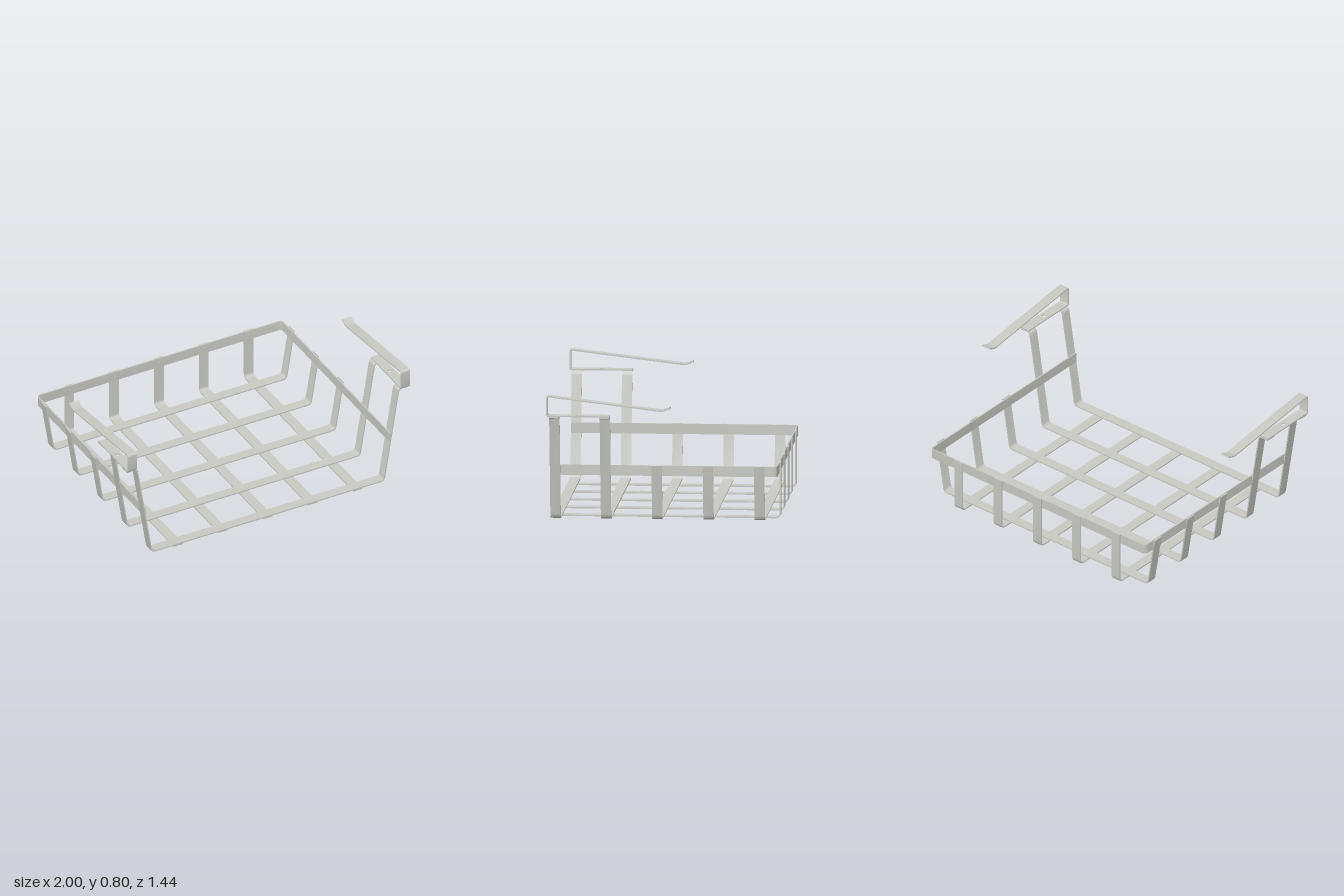
import * as THREE from 'three';
import { toCreasedNormals } from 'three/addons/utils/BufferGeometryUtils.js';

const T = 0.008;  // strap thickness
const W = 0.065;  // strap width

// Round the inner corners of a polyline with radius-like distance r
function roundPath(points, r) {
  const p = points.map(([x, y]) => new THREE.Vector2(x, y));
  const out = [p[0]];
  for (let i = 1; i < p.length - 1; i++) {
    const a = p[i - 1].clone().sub(p[i]).setLength(r).add(p[i]);
    const b = p[i + 1].clone().sub(p[i]).setLength(r).add(p[i]);
    out.push(...new THREE.QuadraticBezierCurve(a, p[i], b).getPoints(6));
  }
  out.push(p[p.length - 1]);
  return out;
}

// Bent flat strap: thickened centre line extruded across its width
function strapGeometry(points, r, width = W) {
  const path = roundPath(points, r);
  const left = [], right = [];
  path.forEach((p, i) => {
    const d0 = p.clone().sub(path[Math.max(i - 1, 0)]).normalize();
    const d1 = path[Math.min(i + 1, path.length - 1)].clone().sub(p).normalize();
    const d = d0.add(d1).normalize();
    const n = new THREE.Vector2(-d.y, d.x).multiplyScalar(T / 2);
    left.push(p.clone().add(n));
    right.unshift(p.clone().sub(n));
  });
  const geo = new THREE.ExtrudeGeometry(new THREE.Shape([...left, ...right]), {
    depth: width, bevelEnabled: false,
  });
  geo.translate(0, 0, -width / 2);
  return toCreasedNormals(geo, 0.6);
}

export function createModel() {
  const model = new THREE.Group();
  model.name = 'wireBasket';
  const steel = new THREE.MeshStandardMaterial({ color: 0xc9c9c4 });
  steel.name = 'light grey steel';

  const add = (name, geo, x = 0, y = 0, z = 0, parent = model) => {
    const mesh = new THREE.Mesh(geo, steel);
    mesh.name = name;
    mesh.position.set(x, y, z);
    parent.add(mesh);
    return mesh;
  };

  // Two tall front hangers with outward flanges below the handles
  const hanger = strapGeometry([
    [-0.998, 0.669], [-0.928, 0.669], [-0.823, 0.012],
    [0.823, 0.012], [0.928, 0.669], [0.998, 0.669],
  ], 0.025);
  for (const z of [0.675, 0.36]) add('hangerStrap', hanger, 0, 0, z);

  // Three low cross straps ending at the rim
  const cross = strapGeometry([
    [-0.878, 0.355], [-0.823, 0.012], [0.823, 0.012], [0.878, 0.355],
  ], 0.025);
  for (const z of [0.04, -0.28, -0.6]) add('crossStrap', cross, 0, 0, z);

  // Lengthwise straps under the cross straps, turned up at the back
  const long = strapGeometry([[0.707, 0.004], [-0.716, 0.004], [-0.716, 0.355]], 0.03);
  long.rotateY(-Math.PI / 2);
  const rivet = new THREE.CylinderGeometry(0.008, 0.008, 0.004, 16).rotateX(Math.PI / 2);
  for (let i = -2; i <= 2; i++) {
    add('lengthwiseStrap', long, i * 0.318);
    add('rivet', rivet, i * 0.318, 0.322, -0.703);
  }

  // Rim around the sides and back, open at the front
  const rim = strapGeometry([
    [-0.866, 0.705], [-0.866, -0.708], [0.866, -0.708], [0.866, 0.705],
  ], 0.025);
  rim.rotateX(Math.PI / 2);
  add('rim', rim, 0, 0.322, 0);

  // Handle clip: front riser and sloping spring arm with a raised tip
  const arm = strapGeometry([
    [0.69, 0.677], [0.717, 0.677], [0.717, 0.801], [0, 0.715], [-0.052, 0.734],
  ], 0.012);
  arm.rotateY(-Math.PI / 2);

  // Mounting plate with a screw hole
  const plateShape = new THREE.Shape();
  plateShape.moveTo(-W / 2, 0.33).lineTo(W / 2, 0.33).lineTo(W / 2, 0.69).lineTo(-W / 2, 0.69);
  plateShape.closePath();
  const hole = new THREE.Path();
  hole.absarc(0, 0.52, 0.014, 0, Math.PI * 2, true);
  plateShape.holes.push(hole);
  const plate = new THREE.ExtrudeGeometry(plateShape, {
    depth: T, bevelEnabled: false, curveSegments: 20,
  });
  plate.rotateX(Math.PI / 2);

  for (const side of [-1, 1]) {
    const clip = new THREE.Group();
    clip.name = side > 0 ? 'leftClip' : 'rightClip';
    clip.position.x = side * 0.967;
    add('springArm', arm, 0, 0, 0, clip);
    add('mountingPlate', plate, 0, 0.681, 0, clip);
    model.add(clip);
  }
  return model;
}
